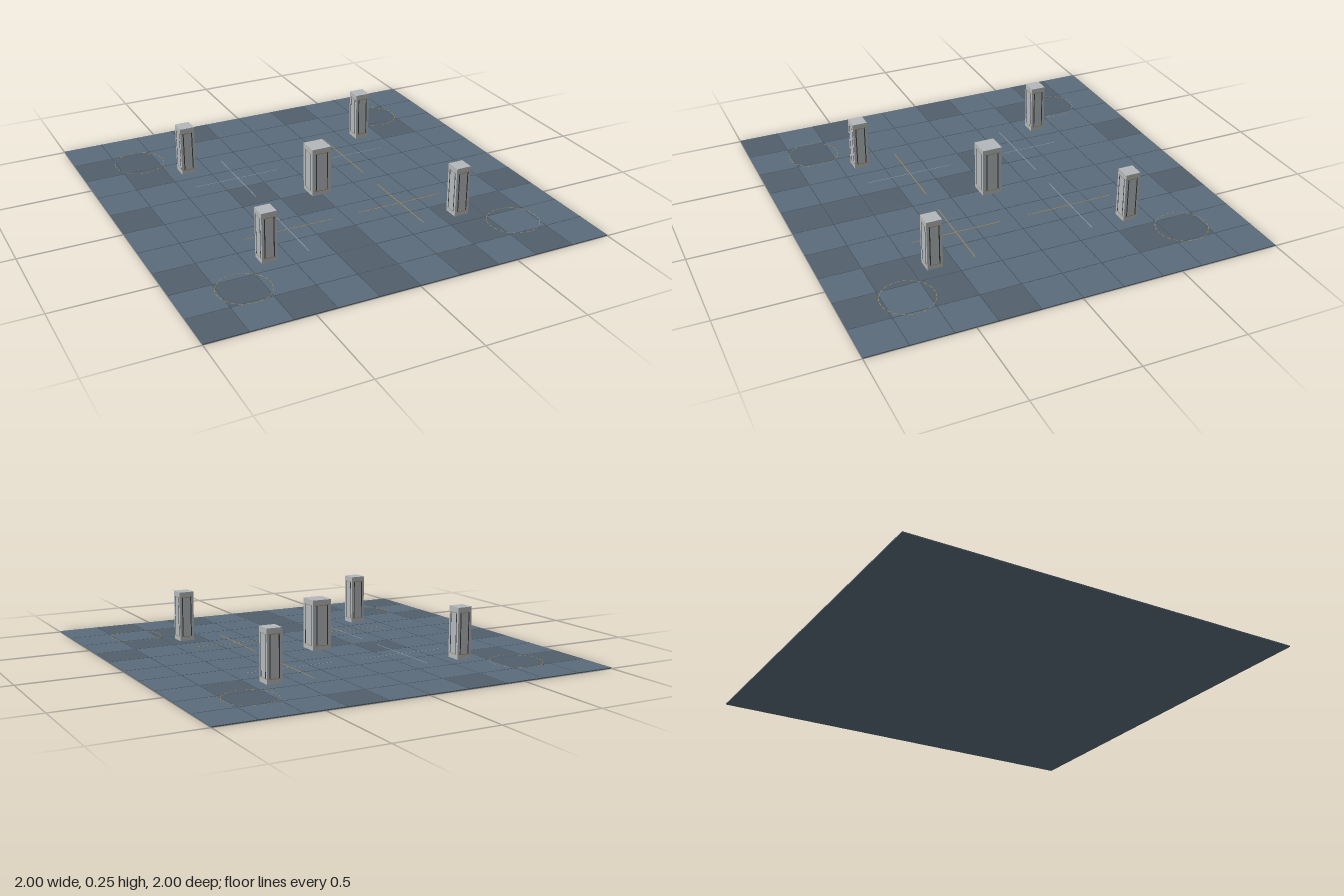
import * as THREE from 'three';

const FLOOR = 0.005;
const mat = (color) => new THREE.MeshStandardMaterial({ color });
const slate = mat(0x5b6b7a), slateDark = mat(0x525f6b), seamMat = mat(0x46535f);
const stone = mat(0xb4b8ba), groove = mat(0x3c4146), gold = mat(0xa08a58), steel = mat(0x8796a0);

function box(parent, name, size, pos, material) {
  const mesh = new THREE.Mesh(new THREE.BoxGeometry(...size), material);
  mesh.position.set(...pos);
  mesh.name = name;
  parent.add(mesh);
  return mesh;
}

// Square pillar with vertical grooves and thin gold bands on all four faces
function pillar(name, width, x, z) {
  const g = new THREE.Group();
  g.name = name;
  const h = 0.25;
  box(g, 'shaft', [width, h, width], [0, h / 2, 0], stone);
  for (let side = 0; side < 4; side++) {
    const face = new THREE.Group();
    face.name = 'pillarFace';
    face.rotation.y = side * Math.PI / 2;
    for (const s of [-1, 1])
      box(face, 'groove', [0.005, 0.2, 0.001], [s * width * 0.3, 0.125, width / 2], groove);
    for (const y of [0.023, 0.223])
      box(face, 'band', [width * 0.8, 0.003, 0.0014], [0, y, width / 2], gold);
    g.add(face);
  }
  g.position.set(x, FLOOR, z);
  return g;
}

export function createModel() {
  const model = new THREE.Group();
  model.name = 'courtyard';

  box(model, 'floorSlab', [2, FLOOR, 2], [0, FLOOR / 2, 0], slate);

  // Darker tiles: column numbers for each row, from back to front
  const darkTiles = [[3, 6], [0, 1, 8], [1, 8], [], [0, 3], [4], [9], [0, 4, 7, 8], [1, 4, 7], [0, 2, 4, 6, 8]];
  darkTiles.forEach((cols, row) => cols.forEach((col) =>
    box(model, 'darkTile', [0.2, 0.0006, 0.2], [-0.9 + col * 0.2, FLOOR, -0.9 + row * 0.2], slateDark)));

  // Seams between tiles
  for (let i = 1; i < 10; i++) {
    const p = -1 + i * 0.2;
    box(model, 'seam', [0.004, 0.001, 2], [p, FLOOR, 0], seamMat);
    box(model, 'seam', [2, 0.001, 0.004], [0, FLOOR, p], seamMat);
  }

  // Crosses, corner pillars and floor rings in each quarter
  for (const sx of [-1, 1]) for (const sz of [-1, 1]) {
    box(model, 'crossBar', [0.45, 0.002, 0.004], [sx * 0.3, FLOOR, sz * 0.3], sz > 0 ? gold : steel);
    box(model, 'crossBar', [0.004, 0.002, 0.45], [sx * 0.3, FLOOR, sz * 0.3], sx > 0 ? gold : steel);
    model.add(pillar('cornerPillar', 0.075, sx * 0.5, sz * 0.5));

    const ring = new THREE.Group();
    ring.name = 'dashedRing';
    for (let i = 0; i < 24; i++) {
      const a = i * Math.PI / 12;
      const dash = box(ring, 'dash', [0.003, 0.002, 0.02], [Math.cos(a) * 0.125, 0, Math.sin(a) * 0.125], gold);
      dash.rotation.y = -a;
    }
    ring.position.set(sx * 0.69, FLOOR, sz * 0.69);
    model.add(ring);
  }

  model.add(pillar('centrePillar', 0.1, 0, 0));
  return model;
}
